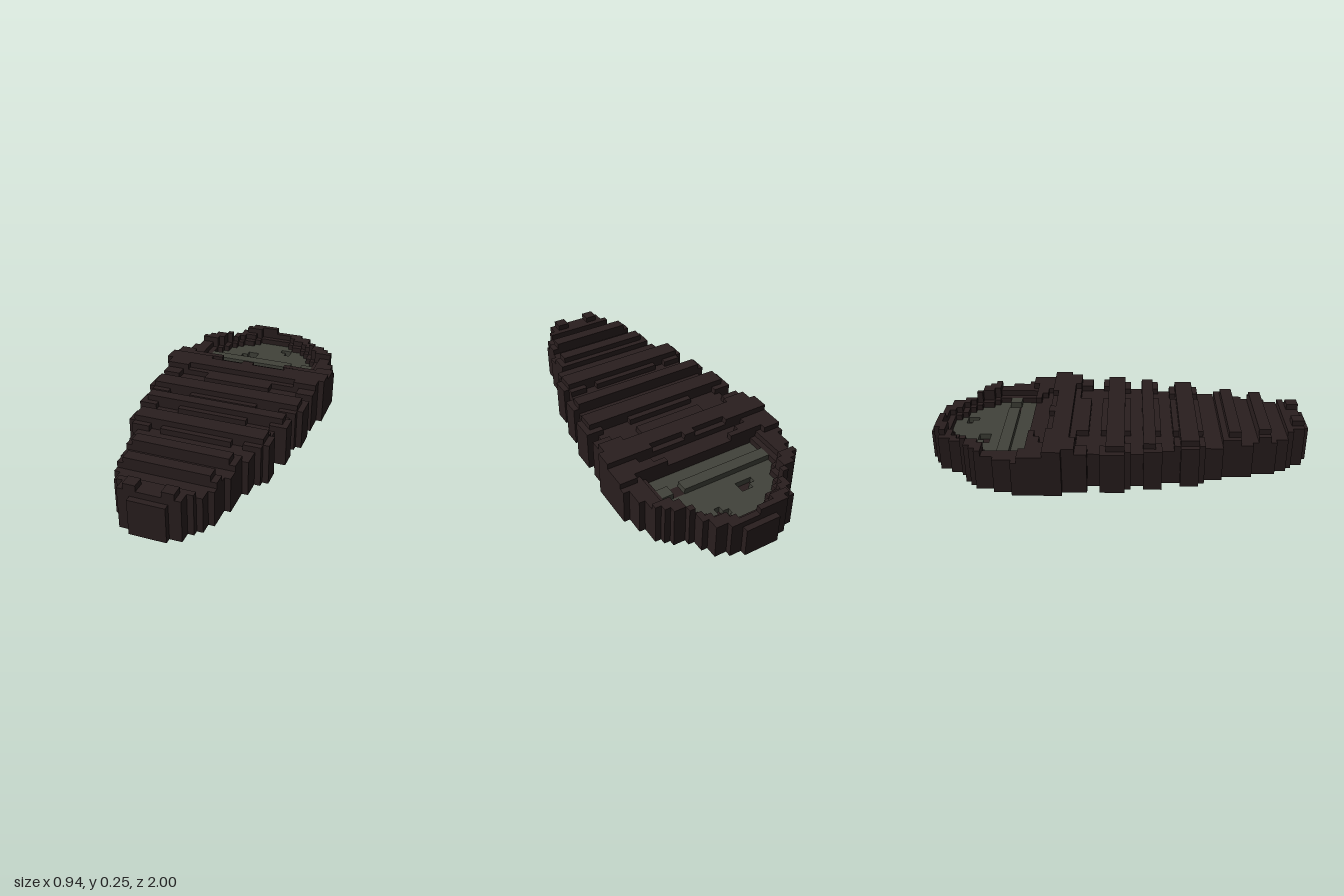
import * as THREE from 'three';

const U = 1 / 32; // voxel size
const ROWS = 64, HALF = 16;

// Expand [count, value] pairs into one value per row, head (back) to foot (front)
const expand = (pairs) => pairs.flatMap(([n, v]) => Array(n).fill(v));

// Half width of the wrapped body
const bodyHalf = expand([[1, 3], [1, 5], [2, 7], [2, 8], [1, 9], [1, 11], [1, 12], [3, 13], [3, 14],
  [8, 15], [4, 14], [2, 12], [4, 14], [1, 13], [2, 12], [3, 13], [3, 11], [3, 12], [1, 11], [3, 10],
  [5, 9], [4, 8], [2, 7], [1, 6], [2, 5], [1, 3]]);

// Row heights: bandage ridges stand on a base six voxels high
const rowHeight = expand([[1, 5], [2, 7], [3, 6], [4, 7], [6, 6], [4, 7], [5, 8], [2, 7], [2, 6],
  [1, 7], [3, 8], [1, 7], [2, 6], [2, 8], [1, 7], [2, 6], [1, 7], [3, 8], [1, 7], [3, 6],
  [1, 7], [2, 8], [3, 6], [2, 8], [3, 6], [1, 7], [2, 8], [1, 6]]);

// Half width of the sunken face plate
const plateHalf = expand([[3, 0], [1, 3], [1, 4], [1, 6], [1, 7], [2, 8], [1, 9], [7, 10], [47, 0]]);

// Shallow pits in the plate, as column,row cells
const pits = new Set(['2,5', '3,5', '3,6', '-3,8', '-4,8', '-3,9', '-4,9', '-5,9',
  '6,12', '7,12', '6,13', '7,13']);

const inPlate = (x, r) => r >= 0 && r < ROWS && x >= -plateHalf[r] && x < plateHalf[r];
const isPlate = (x, r) => inPlate(x, r) && !pits.has(x + ',' + r);

function cellHeight(x, r) {
  if (r < 0 || r >= ROWS || x < -bodyHalf[r] || x >= bodyHalf[r]) return 0;
  if (inPlate(x, r)) {
    const top = r === 12 || r === 13 ? 5 : 4; // raised band across the face
    return isPlate(x, r) ? top : top - 1;
  }
  const a = x < 0 ? -x - 1 : x; // distance from the middle column
  const edge = bodyHalf[r] - 1 - a;
  const h = rowHeight[r];
  // inner lip round the face
  if (r < 17 && (inPlate(x + 1, r) || inPlate(x - 1, r) || inPlate(x, r + 1))) return 5;
  // knots on the crown and temples
  if (r < 3) return h === 7 && (x > -1 || x < -6) ? 6 : h;
  if (r < 17) return h === 7 && edge > 2 ? 6 : h;
  // collar under the face, lower in the middle
  if (r < 20) return a < 6 + (r - 17) * 2 ? 6 : 7;
  // worn places in the bandages
  if (r === 20 && a > 0 && a < 7) return 7;
  if (r === 24 && a < 10) return 7;
  if (r >= 61 && h === 8 && a < 2) return 7;
  if (h === 7 && a > 5 && edge > 2) return 6;
  if (h === 8 && r > 24 && edge === 0) return 7;
  return h;
}

// Exposed voxel faces of all cells accepted by the filter, with the whole underside if asked
function voxelSkin(accept, withBase) {
  const pos = [], nor = [];
  const quad = (a, b, c, d, n) => {
    for (const p of [a, b, c, a, c, d]) {
      pos.push(p[0] * U, p[1] * U, p[2] * U);
      nor.push(...n);
    }
  };
  for (let r = 0; r < ROWS; r++) {
    for (let x = -HALF; x < HALF; x++) {
      const h = cellHeight(x, r);
      if (!h) continue;
      const z = r - ROWS / 2, X = x + 1, Z = z + 1;
      if (withBase) quad([x, 0, z], [X, 0, z], [X, 0, Z], [x, 0, Z], [0, -1, 0]);
      if (!accept(x, r)) continue;
      quad([x, h, Z], [X, h, Z], [X, h, z], [x, h, z], [0, 1, 0]);
      let l = cellHeight(x + 1, r);
      if (l < h) quad([X, l, Z], [X, l, z], [X, h, z], [X, h, Z], [1, 0, 0]);
      l = cellHeight(x - 1, r);
      if (l < h) quad([x, l, z], [x, l, Z], [x, h, Z], [x, h, z], [-1, 0, 0]);
      l = cellHeight(x, r + 1);
      if (l < h) quad([x, l, Z], [X, l, Z], [X, h, Z], [x, h, Z], [0, 0, 1]);
      l = cellHeight(x, r - 1);
      if (l < h) quad([X, l, z], [x, l, z], [x, h, z], [X, h, z], [0, 0, -1]);
    }
  }
  const g = new THREE.BufferGeometry();
  g.setAttribute('position', new THREE.Float32BufferAttribute(pos, 3));
  g.setAttribute('normal', new THREE.Float32BufferAttribute(nor, 3));
  return g;
}

export function createModel() {
  const wrap = new THREE.MeshStandardMaterial({ color: 0x291e1e });
  wrap.name = 'dark brown wrapping';
  const stone = new THREE.MeshStandardMaterial({ color: 0x41423a });
  stone.name = 'grey green face';

  const model = new THREE.Group();
  model.name = 'wrappedCocoon';
  const add = (name, geometry, material) => {
    const mesh = new THREE.Mesh(geometry, material);
    mesh.name = name;
    model.add(mesh);
  };

  // Wrapped body with ridges, rim, pit floors and underside
  add('wrappedBody', voxelSkin((x, r) => !isPlate(x, r), true), wrap);
  // Sunken face plate
  add('facePlate', voxelSkin(isPlate, false), stone);
  return model;
}
